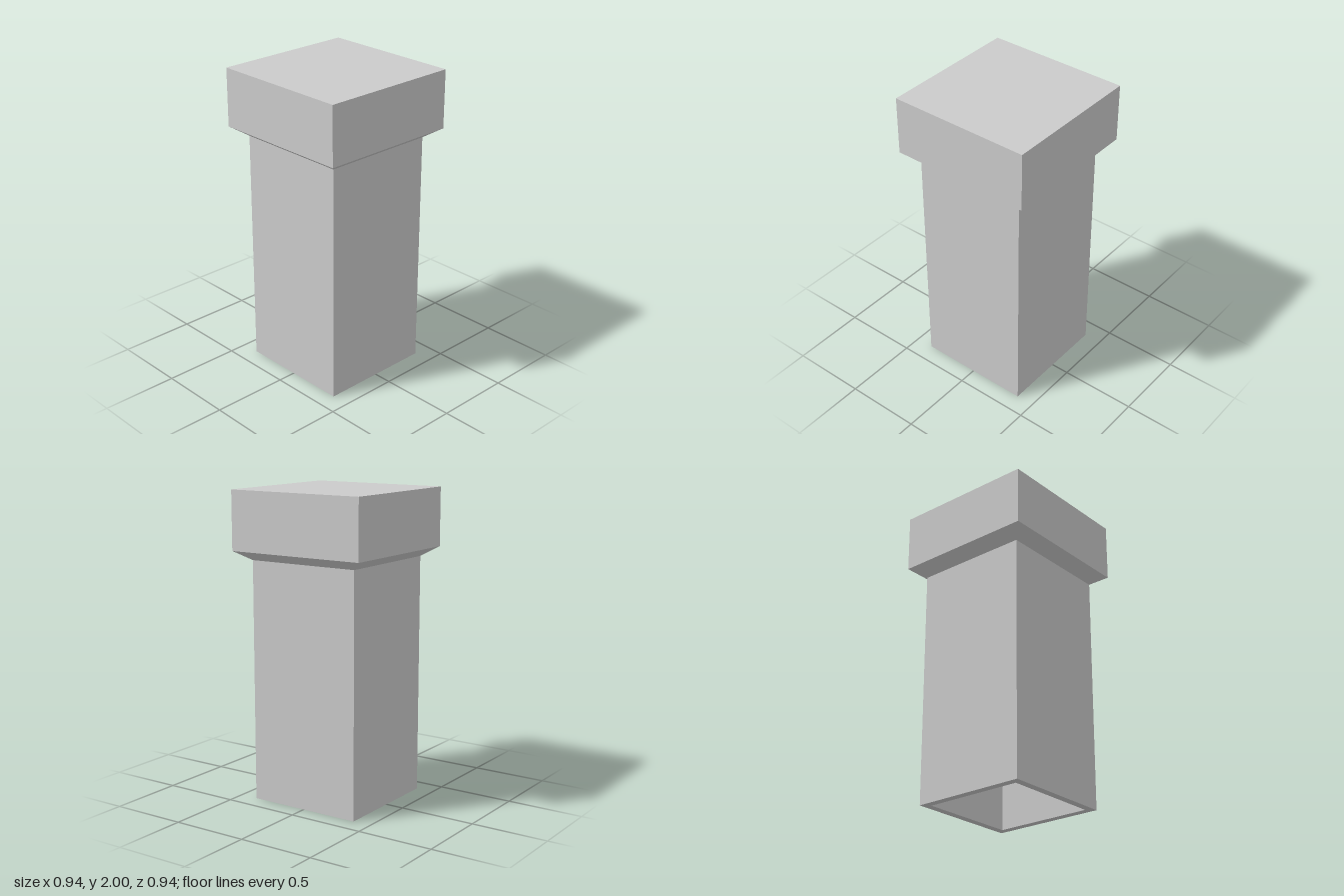
import * as THREE from 'three';

const material = new THREE.MeshStandardMaterial({ color: 0xcccccc, flatShading: true });

// Sweeps a profile of [half width, height] points round a square plan.
// Upward runs face outwards, downward runs face inwards.
function squarePart(name, profile) {
  const points = profile.map(([half, y]) => new THREE.Vector2(half * Math.SQRT2, y));
  const geometry = new THREE.LatheGeometry(points, 4, Math.PI / 4).toNonIndexed();
  geometry.computeVertexNormals();
  const mesh = new THREE.Mesh(geometry, material);
  mesh.name = name;
  return mesh;
}

export function createModel() {
  const pillar = new THREE.Group();
  pillar.name = 'pillar';

  const shaft = 0.38, cap = 0.47, wall = 0.05;
  const shaftTop = 1.56, capBottom = 1.62, top = 2;

  pillar.add(
    // Outer faces
    squarePart('shaft', [[shaft, 0], [shaft, shaftTop]]),
    squarePart('flare', [[shaft, shaftTop], [cap, capBottom]]),
    squarePart('capital', [[cap, capBottom], [cap, top], [0, top]]),
    // Open underside: rim and hollow core
    squarePart('bottomRim', [[shaft - wall, 0], [shaft, 0]]),
    squarePart('hollowCore', [
      [0, top - wall], [cap - wall, top - wall], [cap - wall, capBottom + 0.027],
      [shaft - wall, shaftTop + 0.027], [shaft - wall, 0],
    ]),
  );
  return pillar;
}
